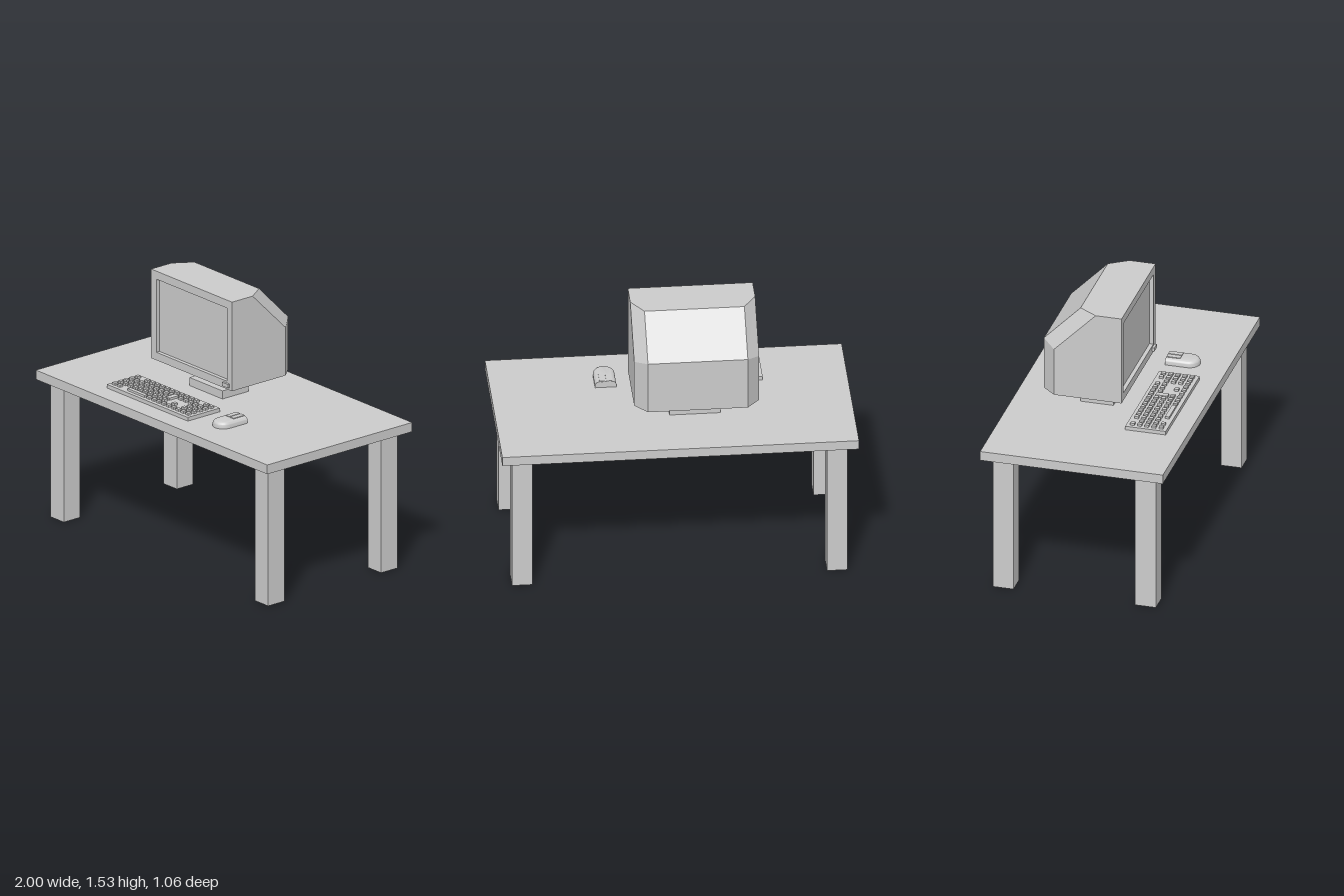
import * as THREE from 'three';
import { toCreasedNormals } from 'three/addons/utils/BufferGeometryUtils.js';

const grey = new THREE.MeshStandardMaterial({ color: 0xcccccc });

function addMesh(parent, name, geometry) {
  const mesh = new THREE.Mesh(geometry, grey);
  mesh.name = name;
  parent.add(mesh);
  return mesh;
}

function addGroup(parent, name) {
  const group = new THREE.Group();
  group.name = name;
  parent.add(group);
  return group;
}

// Box given by its extents along each axis
function addBox(parent, name, [x0, x1], [y0, y1], [z0, z1]) {
  const mesh = addMesh(parent, name, new THREE.BoxGeometry(x1 - x0, y1 - y0, z1 - z0));
  mesh.position.set((x0 + x1) / 2, (y0 + y1) / 2, (z0 + z1) / 2);
  return mesh;
}

// Skin over convex cross-sections with end caps; an open skin leaves out the closing strip
function loft(sections, closed) {
  const pos = [];
  const tri = (...points) => points.forEach((p) => pos.push(...p));
  const n = sections[0].length;
  for (let i = 0; i < sections.length - 1; i++) {
    for (let j = 0; j < (closed ? n : n - 1); j++) {
      const k = (j + 1) % n;
      const [a, b, c, d] = [sections[i][j], sections[i + 1][j], sections[i + 1][k], sections[i][k]];
      tri(a, b, c);
      tri(a, c, d);
    }
  }
  const first = sections[0], last = sections[sections.length - 1];
  for (let j = 1; j < n - 1; j++) {
    tri(first[0], first[j], first[j + 1]);
    tri(last[0], last[j + 1], last[j]);
  }
  const geometry = new THREE.BufferGeometry();
  geometry.setAttribute('position', new THREE.Float32BufferAttribute(pos, 3));
  geometry.computeVertexNormals();
  return geometry;
}

function buildDesk(root) {
  const desk = addGroup(root, 'desk');
  addBox(desk, 'deskTop', [-1, 1], [0.815, 0.87], [-0.53, 0.53]);
  for (const sx of [-1, 1]) {
    for (const sz of [-1, 1]) {
      const leg = addMesh(desk, 'deskLeg', new THREE.BoxGeometry(0.115, 0.815, 0.12));
      leg.position.set(sx * 0.883, 0.4075, sz * 0.413);
    }
  }
}

function buildMonitor(root) {
  const monitor = addGroup(root, 'monitor');
  monitor.position.x = -0.115;
  addBox(monitor, 'standBase', [-0.143, 0.143], [0.87, 0.918], [-0.155, 0.035]);
  addBox(monitor, 'standNeck', [-0.058, 0.058], [0.918, 1.0], [-0.117, -0.01]);

  // Casing: tall profile in the middle, shorter one at the sides for the cut corners
  const front = 0.115;
  const section = (x, top, slopeY, back) => [
    [x, 1.53, front], [x, 1.53, top], [x, slopeY, back], [x, 1.0, back], [x, 1.0, front],
  ];
  addMesh(monitor, 'casing', loft([
    section(-0.35, -0.01, 1.285, -0.252),
    section(-0.28, -0.117, 1.312, -0.33),
    section(0.28, -0.117, 1.312, -0.33),
    section(0.35, -0.01, 1.285, -0.252),
  ], false));

  // Bezel frame around the sunken screen
  const rectangle = (Type, x, y0, y1) => new Type([[-x, y0], [x, y0], [x, y1], [-x, y1]]
    .map(([px, py]) => new THREE.Vector2(px, py)));
  const frame = rectangle(THREE.Shape, 0.35, 1.0, 1.53);
  frame.holes.push(rectangle(THREE.Path, 0.305, 1.047, 1.482));
  const bezel = addMesh(monitor, 'bezel',
    new THREE.ExtrudeGeometry(frame, { depth: 0.025, bevelEnabled: false }));
  bezel.position.z = front;
  addBox(monitor, 'screen', [-0.32, 0.32], [1.03, 1.5], [0.1, 0.117]);
  addBox(monitor, 'powerButton', [0.28, 0.33], [1.015, 1.037], [0.135, 0.153]);
}

function buildKeyboard(root) {
  const keyboard = addGroup(root, 'keyboard');
  addBox(keyboard, 'keyboardBody', [-0.525, 0.175], [0.87, 0.892], [0.178, 0.413]);
  const keyY = [0.89, 0.905];

  // One character per key position, x marks a key
  const rows = [
    'x.xxxxxxxxxxx.xx',
    'xxxxxxxxx.xxxxxx',
    'xxxxxxxxx....xxx',
    'xxxxxxxxxx.x.xxx',
    'xx.....xxxxxxxxx',
  ];
  rows.forEach((row, r) => {
    [...row].forEach((mark, c) => {
      if (mark !== 'x') return;
      const x = -0.492 + c * 0.0422, z = 0.213 + r * 0.0415;
      addBox(keyboard, 'key', [x - 0.012, x + 0.012], keyY, [z - 0.012, z + 0.012]);
    });
  });
  addBox(keyboard, 'enterKey', [-0.134, -0.1], keyY, [0.243, 0.313]);
  addBox(keyboard, 'spaceBar', [-0.374, -0.226], keyY, [0.367, 0.391]);
}

function buildMouse(root) {
  const mouse = addGroup(root, 'mouse');
  mouse.position.x = 0.355;

  // U-shaped outline stacked from the top down, rounded over at the upper edge
  const outline = (y, radius) => {
    const points = [[-radius, y, 0.178]];
    for (let i = 0; i <= 16; i++) {
      const a = Math.PI * (1 - i / 16);
      points.push([radius * Math.cos(a), y, 0.305 + radius * Math.sin(a)]);
    }
    return [...points, [radius, y, 0.178]];
  };
  const sections = [];
  const bevel = 0.024;
  for (let i = 0; i <= 6; i++) {
    const a = (i / 6) * Math.PI / 2;
    sections.push(outline(0.907 - bevel * (1 - Math.cos(a)), 0.06 - bevel * (1 - Math.sin(a))));
  }
  sections.push(outline(0.87, 0.06));
  addMesh(mouse, 'mouseBody', toCreasedNormals(loft(sections, true), 0.6));
  for (const s of [-1, 1]) {
    const button = addMesh(mouse, 'mouseButton', new THREE.BoxGeometry(0.032, 0.012, 0.08));
    button.position.set(s * 0.019, 0.905, 0.219);
  }
}

export function createModel() {
  const root = new THREE.Group();
  root.name = 'computerDesk';
  buildDesk(root);
  buildMonitor(root);
  buildKeyboard(root);
  buildMouse(root);
  return root;
}
